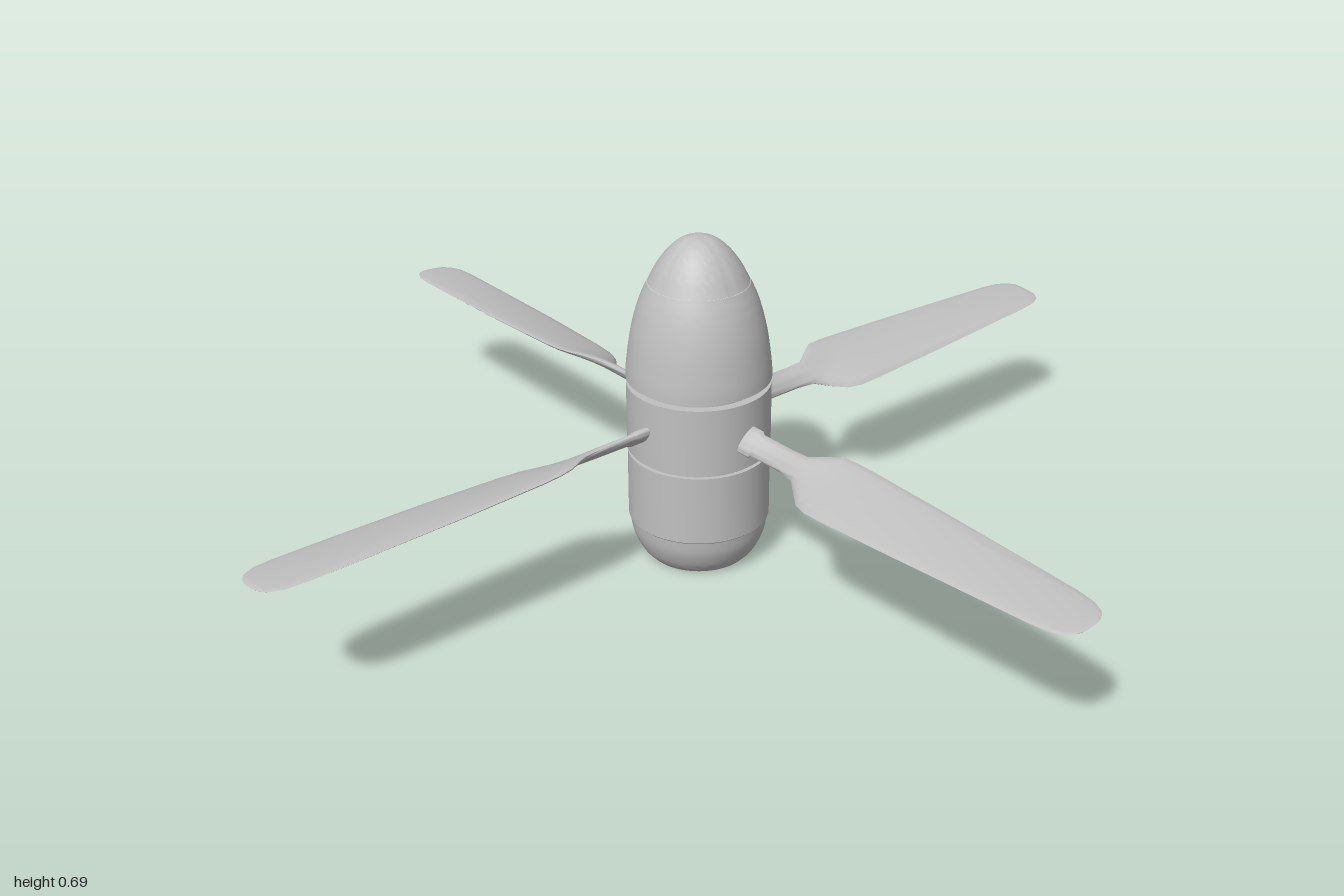
import * as THREE from 'three';
import { toCreasedNormals } from 'three/addons/utils/BufferGeometryUtils.js';

const grey = new THREE.MeshStandardMaterial({ color: 0xc0c0c0 });
grey.name = 'plain grey';

// Turned part from [radius, height] pairs, bottom to top
function turned(name, points) {
  const profile = points.map(([r, y]) => new THREE.Vector2(r, y));
  const mesh = new THREE.Mesh(toCreasedNormals(new THREE.LatheGeometry(profile, 64), 0.5), grey);
  mesh.name = name;
  return mesh;
}

// Smooth curve through a few [radius, height] pairs
function smooth(points, n) {
  const curve = new THREE.SplineCurve(points.map(([r, y]) => new THREE.Vector2(r, y)));
  return curve.getPoints(n).map((p) => [Math.max(p.x, 0), p.y]);
}

// Blade stations: [distance, trailing edge, leading edge, half thickness, pitch in degrees]
const STATIONS = [
  [0.10, -0.030, 0.030, 0.012, 45],
  [0.172, -0.030, 0.030, 0.012, 45],
  [0.178, -0.025, 0.025, 0.009, 45],
  [0.26, -0.025, 0.025, 0.009, 42],
  [0.30, -0.030, 0.028, 0.009, 36],
  [0.33, -0.052, 0.048, 0.009, 29],
  [0.36, -0.073, 0.066, 0.008, 24],
  [0.39, -0.081, 0.070, 0.008, 21],
  [0.43, -0.082, 0.071, 0.008, 19],
  [0.60, -0.078, 0.069, 0.007, 14],
  [0.80, -0.070, 0.064, 0.006, 9],
  [0.92, -0.065, 0.060, 0.005, 6],
  [0.96, -0.060, 0.055, 0.004, 5],
  [0.985, -0.048, 0.043, 0.003, 5],
  [0.996, -0.032, 0.028, 0.002, 5],
  [1.00, -0.012, 0.010, 0, 5],
];

// Loft of oval sections along +z, twisted by the pitch
function bladeGeometry() {
  const sides = 20, positions = [], index = [];
  STATIONS.forEach(([z, left, right, thick, pitch], s) => {
    const a = THREE.MathUtils.degToRad(pitch);
    const middle = (left + right) / 2, half = (right - left) / 2;
    for (let i = 0; i < sides; i++) {
      const t = (i / sides) * Math.PI * 2;
      const u = middle + half * Math.cos(t), v = thick * Math.sin(t);
      positions.push(u * Math.cos(a) - v * Math.sin(a), u * Math.sin(a) + v * Math.cos(a), z);
      if (s === STATIONS.length - 1) continue;
      const p = s * sides + i, q = s * sides + ((i + 1) % sides);
      index.push(p, q, p + sides, q, q + sides, p + sides);
    }
  });
  const geometry = new THREE.BufferGeometry();
  geometry.setAttribute('position', new THREE.Float32BufferAttribute(positions, 3));
  geometry.setIndex(index);
  return toCreasedNormals(geometry, 0.9);
}

export function createModel() {
  const model = new THREE.Group();
  model.name = 'propeller';

  // Body stack, with narrow grooves between the sections
  const tail = smooth([[0.105, 0], [0.122, 0.02], [0.137, 0.055], [0.142, 0.087]], 12);
  model.add(
    turned('tailCone', [[0, 0], ...tail]),
    turned('lowerSleeve', [[0.142, 0.087], [0.145, 0.09], [0.145, 0.237], [0.136, 0.237]]),
    turned('lowerGroove', [[0.136, 0.237], [0.136, 0.245]]),
    turned('hub', [[0.136, 0.245], [0.146, 0.245], [0.146, 0.387], [0.128, 0.387]]),
    turned('upperGroove', [[0.128, 0.387], [0.128, 0.40]]),
  );

  // Spinner and its separate tip
  const spinner = smooth([[0.147, 0.40], [0.145, 0.43], [0.135, 0.50], [0.119, 0.56], [0.102, 0.60]], 20);
  const tip = smooth([[0.101, 0.60], [0.084, 0.633], [0.060, 0.665], [0.032, 0.687], [0, 0.695]], 20);
  model.add(
    turned('spinner', [[0.128, 0.40], ...spinner]),
    turned('spinnerTip', tip),
  );

  // Four twisted blades
  const blade = bladeGeometry();
  for (let i = 0; i < 4; i++) {
    const mesh = new THREE.Mesh(blade, grey);
    mesh.name = 'blade' + (i + 1);
    mesh.position.y = 0.308;
    mesh.rotation.y = (i * Math.PI) / 2;
    model.add(mesh);
  }
  return model;
}
